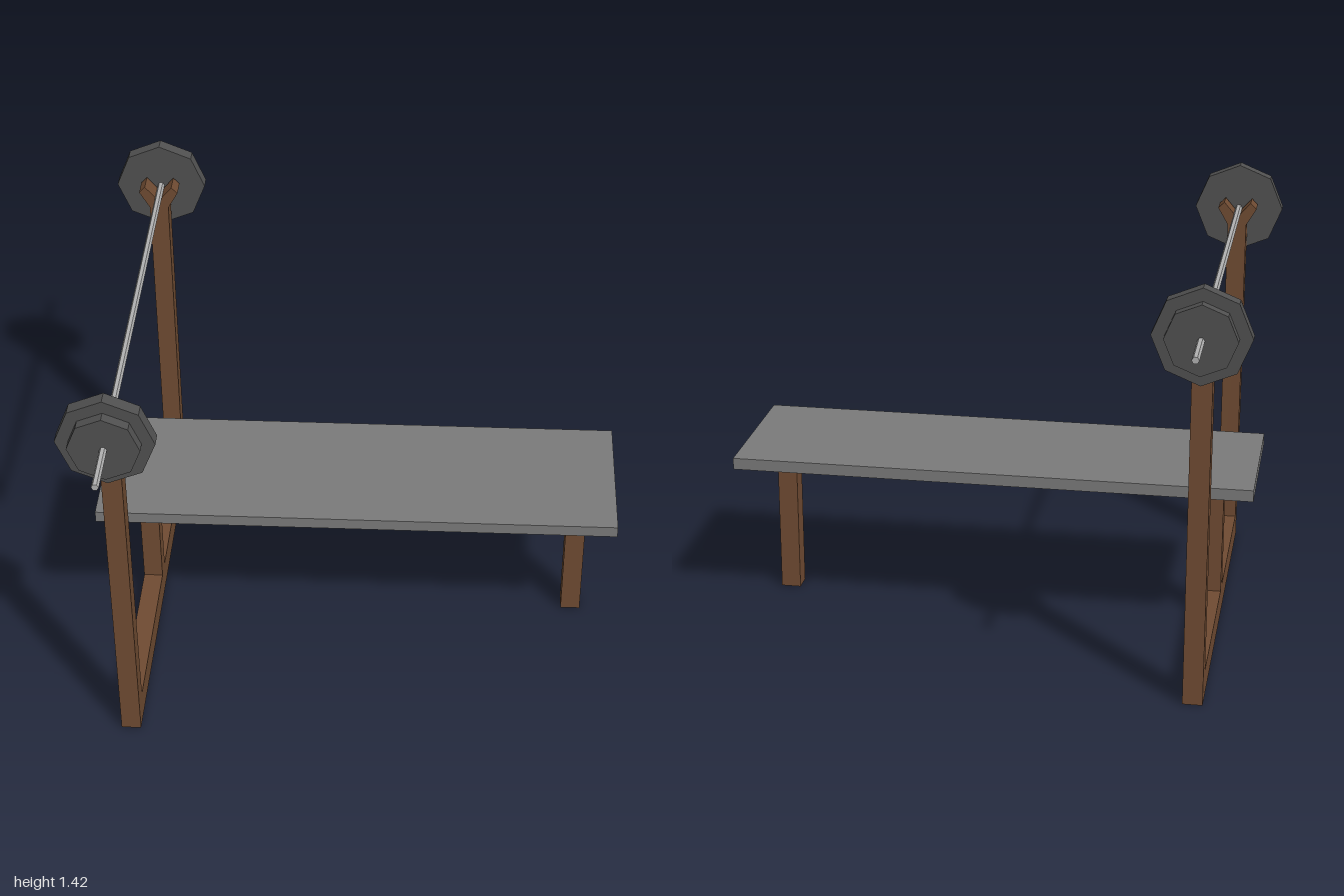
import * as THREE from 'three';

const flat = (name, color) => {
  const m = new THREE.MeshStandardMaterial({ color });
  m.name = name;
  return m;
};

export function createModel() {
  const wood = flat('brownWood', 0x6f4b32);
  const pad = flat('greyPad', 0x7a7a7a);
  const iron = flat('darkIron', 0x505050);
  const steel = flat('steel', 0xb0b0b0);

  const group = new THREE.Group();
  group.name = 'weightBench';
  const rackX = -0.738, barY = 1.267, half = 0.033;

  const add = (name, geometry, material, x, y, z) => {
    const mesh = new THREE.Mesh(geometry, material);
    mesh.name = name;
    mesh.position.set(x, y, z);
    group.add(mesh);
    return mesh;
  };
  // Box given by its centre in x and z and its bottom and top heights
  const box = (name, material, x, z, w, d, y0, y1) =>
    add(name, new THREE.BoxGeometry(w, y1 - y0, d), material, x, (y0 + y1) / 2, z);
  // Faceted cylinder lying along z
  const rod = (name, material, r, length, sides, z, start = 0) => {
    const g = new THREE.CylinderGeometry(r, r, length, sides, 1, false, start).toNonIndexed();
    g.computeVertexNormals();
    g.rotateX(Math.PI / 2);
    return add(name, g, material, rackX, barY, z);
  };

  // Bench and its legs
  box('benchPad', pad, 0.005, 0, 1.78, 0.545, 0.535, 0.575);
  box('footLeg', wood, 0.769, 0, 0.068, 0.068, 0, 0.535);
  box('headLeg', wood, rackX, 0, 0.066, 0.068, 0.095, 0.535);

  // Rack base beam between the uprights
  box('baseBeam', wood, rackX, 0, 0.066, 1.304, 0, 0.095);

  // Uprights with a V-shaped cradle at the top
  const profile = new THREE.Shape([
    [-half, 0], [half, 0], [half, 1.225], [0.068, 1.285], [0.047, 1.307],
    [0, 1.252], [-0.047, 1.307], [-0.068, 1.285], [-half, 1.225],
  ].map(([x, y]) => new THREE.Vector2(x, y)));
  const upright = new THREE.ExtrudeGeometry(profile, { depth: 0.068, bevelEnabled: false });
  upright.translate(0, 0, -0.034);

  for (const side of [1, -1]) {
    const label = side > 0 ? 'front' : 'back';
    add(label + 'Upright', upright, wood, rackX, 0, side * 0.686);
    rod(label + 'LargePlate', iron, 0.156, 0.047, 8, side * 0.7585);
    rod(label + 'SmallPlate', iron, 0.114, 0.036, 8, side * 0.8);
  }

  // Bar
  rod('bar', steel, 0.012, 2, 6, 0, Math.PI / 6);

  return group;
}
